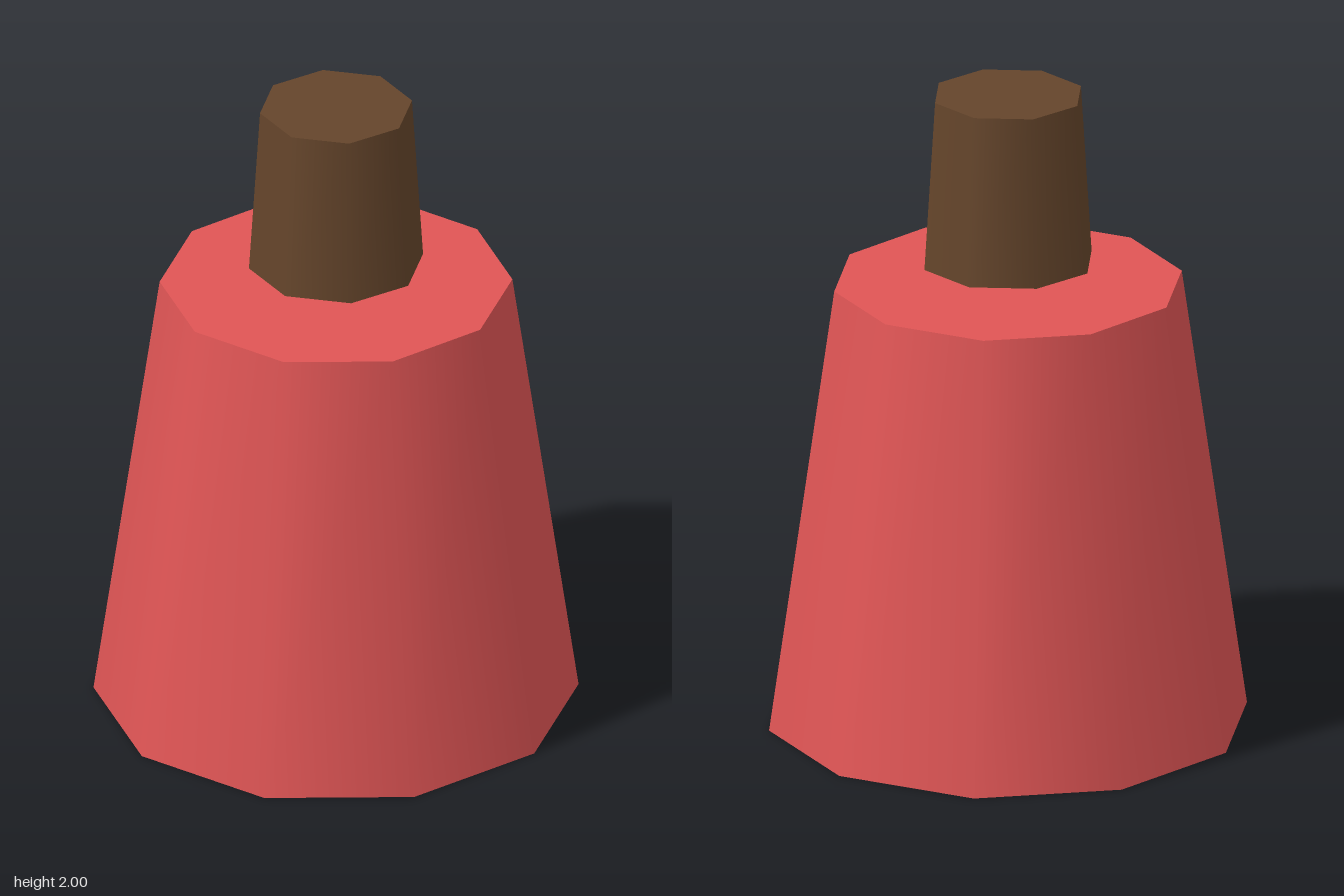
import * as THREE from 'three';

// Closed tapered prism standing on y = bottom, with smooth-shaded sides
function taperedPart(name, topRadius, bottomRadius, bottom, top, sides, color) {
  const geometry = new THREE.CylinderGeometry(topRadius, bottomRadius, top - bottom, sides);
  const mesh = new THREE.Mesh(geometry, new THREE.MeshStandardMaterial({ color }));
  mesh.name = name;
  mesh.position.y = (bottom + top) / 2;
  return mesh;
}

export function createModel() {
  const model = new THREE.Group();
  model.name = 'bottle';

  // Ten-sided bottle body
  model.add(taperedPart('body', 0.533, 0.733, 0, 1.4, 10, 0xe05555));

  // Eight-sided stopper, floating just above the body
  model.add(taperedPart('stopper', 0.233, 0.267, 1.467, 2, 8, 0x65452b));

  return model;
}
